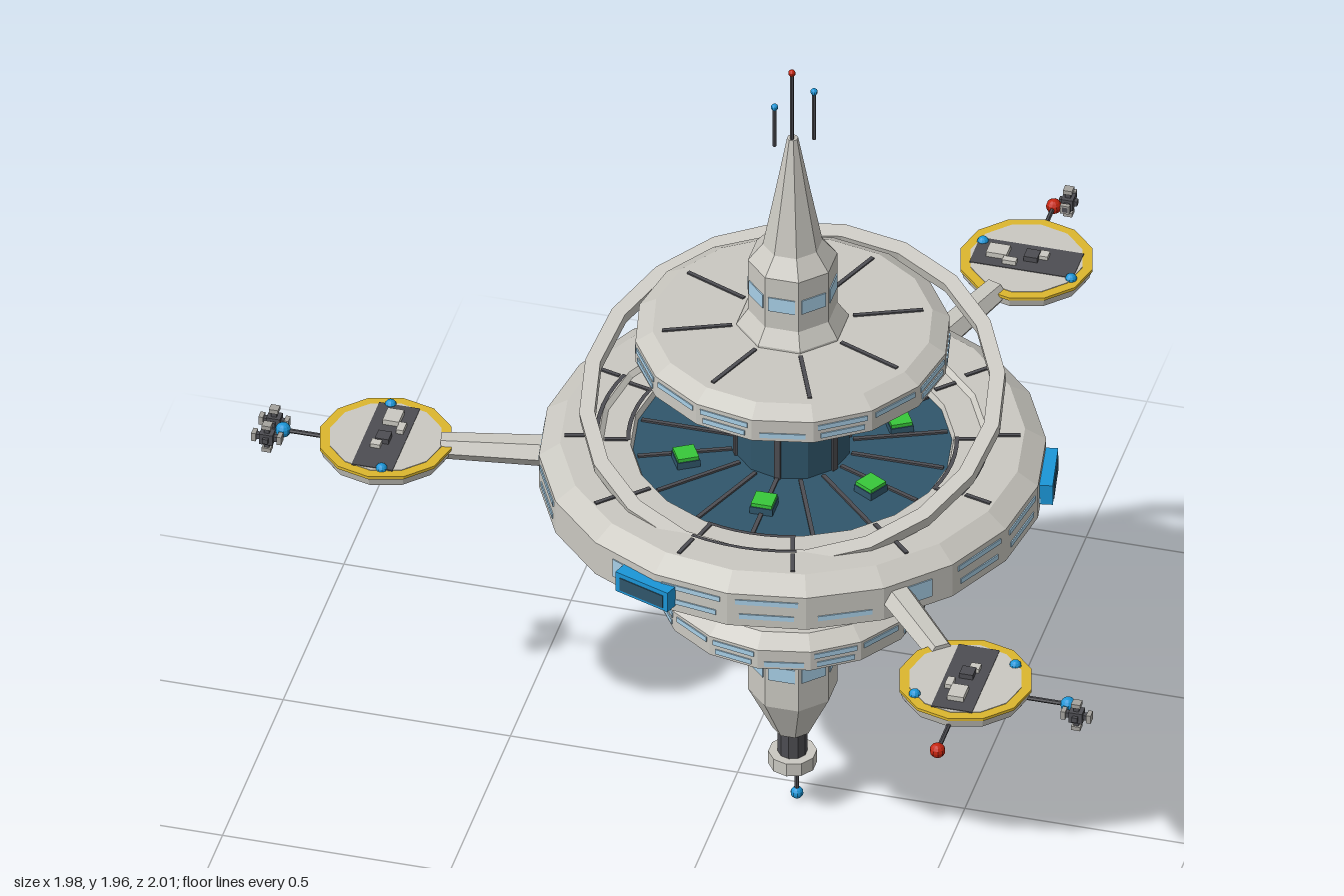
import * as THREE from 'three';

const mat = (name, color) => {
  const m = new THREE.MeshStandardMaterial({ color, flatShading: true });
  m.name = name;
  return m;
};
const deg = Math.PI / 180;

export function createModel() {
  const hull = mat('hull grey', 0xcac8c1);
  const mid = mat('mid grey', 0xa5a39e);
  const dark = mat('dark grey', 0x4d4d52);
  const glass = mat('dark blue glass', 0x30566b);
  const blue = mat('bright blue', 0x1b96d8);
  const pane = mat('pale blue window', 0xa9d0e8);
  const yellow = mat('yellow', 0xdcb62e);
  const red = mat('red', 0xc4240f);
  const green = mat('green', 0x38c83a);

  const model = new THREE.Group();
  const station = new THREE.Group();
  station.name = 'station';
  station.position.set(0.145, 0, 0.09);
  model.add(station);

  const add = (parent, name, geo, m, x = 0, y = 0, z = 0) => {
    const mesh = new THREE.Mesh(geo, m);
    mesh.name = name;
    mesh.position.set(x, y, z);
    parent.add(mesh);
    return mesh;
  };
  const box = (parent, name, w, h, d, m, x, y, z) =>
    add(parent, name, new THREE.BoxGeometry(w, h, d), m, x, y, z);
  const ball = (parent, name, r, m, x, y, z) =>
    add(parent, name, new THREE.SphereGeometry(r, 10, 8), m, x, y, z);
  const lathe = (name, pts, sides, m, start = 0) =>
    add(station, name, new THREE.LatheGeometry(pts.map(p => new THREE.Vector2(...p)), sides, start), m);
  const rod = (parent, name, r, y0, y1, x = 0, z = 0) =>
    add(parent, name, new THREE.CylinderGeometry(r, r, y1 - y0, 6), dark, x, (y0 + y1) / 2, z);
  // Box placed on a circle with its x side pointing outward
  const radial = (name, r, angle, y, [depth, h, w], m) => {
    const b = box(station, name, depth, h, w, m, r * Math.cos(angle), y, r * Math.sin(angle));
    b.rotation.y = -angle;
    return b;
  };
  // Thin plates lying on the flat faces of a many-sided drum
  const facePlates = (name, r, sides, y, h, fill, m, use = () => true, shift = 0.5) => {
    const apothem = r * Math.cos(Math.PI / sides), w = 2 * r * Math.sin(Math.PI / sides) * fill;
    for (let i = 0; i < sides; i++)
      if (use(i)) radial(name, apothem, Math.PI / 2 + (i + shift) * 2 * Math.PI / sides, y, [0.005, h, w], m);
  };
  const spokes = (name, count, offset, r0, r1, y) => {
    for (let i = 0; i < count; i++)
      radial(name, (r0 + r1) / 2, offset + i * 2 * Math.PI / count, y, [r1 - r0, 0.005, 0.009], dark);
  };

  // Central column with mullions
  lathe('column', [[0.125, 0.6], [0.125, 1.22]], 12, glass);
  for (let i = 0; i < 6; i++)
    radial('columnMullion', 0.123, (30 + i * 60) * deg, 0.91, [0.012, 0.62, 0.014], dark);

  // Lower spire, eight-sided
  const turn = Math.PI / 8;
  lathe('lowerSpire', [[0, 0.215], [0.042, 0.215], [0.096, 0.325], [0.096, 0.53], [0.115, 0.56]], 8, hull, turn);
  facePlates('lowerSpireWindow', 0.096, 8, 0.415, 0.035, 0.8, pane, () => true, 0);
  add(station, 'neck', new THREE.CylinderGeometry(0.032, 0.032, 0.08, 10), dark, 0, 0.18, 0);
  add(station, 'collar', new THREE.CylinderGeometry(0.052, 0.052, 0.032, 10), hull, 0, 0.136, 0);
  add(station, 'collarPort', new THREE.CylinderGeometry(0.034, 0.034, 0.006, 10), blue, 0, 0.119, 0);
  rod(station, 'keelRod', 0.005, 0.02, 0.13, 0, -0.036);
  ball(station, 'keelLight', 0.014, blue, 0, 0.015, -0.036);

  // Lower disc
  lathe('lowerDisc', [[0, 0.555], [0.26, 0.555], [0.29, 0.577], [0.29, 0.625], [0.255, 0.65], [0, 0.65]], 16, hull);
  spokes('lowerDiscSeam', 8, 22.5 * deg, 0.14, 0.24, 0.651);

  // Upper disc with darker underside
  lathe('upperDisc', [[0.295, 1.195], [0.337, 1.215], [0.337, 1.268], [0.3, 1.29], [0, 1.29]], 16, hull);
  lathe('upperDiscUnderside', [[0, 1.195], [0.295, 1.195]], 16, mid);
  spokes('upperDiscSeam', 8, 22.5 * deg, 0.13, 0.28, 1.291);

  // Window rows of both small discs
  for (const [r, y] of [[0.29, 0.601], [0.337, 1.241]]) {
    facePlates('discWindow', r, 16, y + 0.011, 0.012, 0.85, pane, i => i % 4 !== 3);
    facePlates('discWindow', r, 16, y - 0.011, 0.012, 0.75, pane, i => i % 3 !== 1);
  }

  // Main disc: rim, stepped top, sunken garden floor
  lathe('mainDisc', [[0.48, 0.845], [0.54, 0.872], [0.54, 0.955], [0.495, 0.985], [0.415, 0.985],
    [0.405, 0.975], [0.345, 0.975], [0.338, 0.958]], 20, hull);
  lathe('mainDiscUnderside', [[0, 0.845], [0.48, 0.845]], 20, mid);
  lathe('gardenFloor', [[0.34, 0.962], [0, 0.962]], 20, glass);
  spokes('mainDiscSeam', 12, 15 * deg, 0.425, 0.485, 0.986);
  spokes('innerSeam', 12, 15 * deg, 0.35, 0.4, 0.976);
  spokes('floorSeam', 16, 0, 0.13, 0.332, 0.964);
  for (let i = 0; i < 6; i++) {
    radial('gardenBed', 0.235, (30 + i * 60) * deg, 0.97, [0.05, 0.018, 0.05], glass);
    radial('garden', 0.235, (30 + i * 60) * deg, 0.983, [0.046, 0.009, 0.046], green);
  }

  // Dark arcs on the main disc at the four quarters
  for (let i = 0; i < 4; i++) {
    for (const [r, y] of [[0.412, 0.988], [0.345, 0.978]]) {
      const arc = add(station, 'quarterArc',
        new THREE.RingGeometry(r, r + 0.009, 6, 1, i * Math.PI / 2 - 0.28, 0.56), dark, 0, y, 0);
      arc.rotation.x = -Math.PI / 2;
    }
  }

  // Main disc windows
  facePlates('mainWindow', 0.54, 20, 0.915, 0.045, 0.4, pane, i => i % 4 === 1);
  facePlates('mainWindow', 0.54, 20, 0.935, 0.012, 0.8, pane, i => i % 4 === 0 || i % 4 === 3);
  facePlates('mainWindow', 0.54, 20, 0.898, 0.012, 0.7, pane, i => i % 4 !== 1 && i % 5 !== 2);

  // Docking hatches between the arms
  for (const a of [-10, 110, 230]) {
    radial('hatchFrame', 0.545, a * deg, 0.913, [0.032, 0.05, 0.135], blue);
    radial('hatchDoor', 0.559, a * deg, 0.911, [0.008, 0.032, 0.112], glass);
  }

  // Tilted ring of square section
  const ring = lathe('tiltedRing',
    [[0.422, -0.014], [0.455, -0.014], [0.455, 0.014], [0.422, 0.014], [0.422, -0.014]], 20, hull);
  ring.position.y = 1.09;
  ring.rotation.x = 0.295;

  // Upper spire and antennas
  lathe('upperSpire', [[0.12, 1.285], [0.12, 1.295], [0.096, 1.33], [0.096, 1.46], [0.064, 1.5],
    [0.037, 1.64], [0.012, 1.775], [0, 1.778]], 8, hull, turn);
  facePlates('upperSpireWindow', 0.096, 8, 1.393, 0.035, 0.8, pane, () => true, 0);
  for (const [x, z, top, m] of [[0, 0.006, 1.95, red], [-0.033, 0.025, 1.867, blue], [0.042, -0.02, 1.89, blue]]) {
    rod(station, 'antenna', 0.0045, 1.765, top, x, z);
    ball(station, 'antennaLight', 0.008, m, x, top, z);
  }

  // Small cross-shaped thruster
  const thruster = (parent, x, z) => {
    const g = new THREE.Group();
    g.name = 'thruster';
    g.position.set(x, 0, z);
    parent.add(g);
    box(g, 'thrusterCore', 0.03, 0.026, 0.026, dark, 0, 0, 0);
    for (const [w, h, d] of [[0.066, 0.012, 0.012], [0.012, 0.066, 0.012], [0.012, 0.012, 0.04]])
      box(g, 'thrusterBar', w, h, d, dark, 0, 0, 0);
    for (const s of [-1, 1]) {
      box(g, 'thrusterNozzle', 0.02, 0.01, 0.02, mid, 0, s * 0.029, 0);
      box(g, 'thrusterNozzle', 0.01, 0.02, 0.02, mid, s * 0.028, 0, 0);
    }
  };

  // Arms with landing pads; each pad faces a square direction
  const pads = [
    { arm: 50, face: 0, tip: blue, side: 1, thrusters: [0.03], lamps: [[0.09, -0.075], [-0.09, 0.08]], mast: true },
    { arm: -70, face: -90, tip: red, side: -1, thrusters: [0.025], lamps: [[0.035, -0.105], [-0.045, 0.11]] },
    { arm: 170, face: 180, tip: blue, side: 1, thrusters: [-0.03, 0.03], lamps: [[0.02, 0.115], [-0.02, -0.11]] },
  ];
  for (const p of pads) {
    const a = p.arm * deg;
    const armGeo = new THREE.CylinderGeometry(0.031, 0.038, 0.26, 6).rotateZ(-Math.PI / 2).scale(1, 0.88, 1);
    const arm = add(station, 'arm', armGeo, hull, 0.62 * Math.cos(a), 0.912, 0.62 * Math.sin(a));
    arm.rotation.y = -a;

    const pad = new THREE.Group();
    pad.name = 'landingPad';
    pad.position.set(0.868 * Math.cos(a), 0.9, 0.868 * Math.sin(a));
    pad.rotation.y = -p.face * deg;
    station.add(pad);
    add(pad, 'padBody', new THREE.CylinderGeometry(0.143, 0.138, 0.018, 12), hull, 0, 0.009, 0);
    add(pad, 'padUnderside', new THREE.CylinderGeometry(0.136, 0.136, 0.004, 12), mid, 0, -0.001, 0);
    add(pad, 'padEdge', new THREE.CylinderGeometry(0.145, 0.145, 0.007, 12), yellow, 0, 0.0215, 0);
    add(pad, 'padDeck', new THREE.CylinderGeometry(0.123, 0.123, 0.004, 12), hull, 0, 0.0245, 0);
    box(pad, 'padPlate', 0.09, 0.005, 0.228, dark, 0, 0.0255, 0);
    box(pad, 'padCrate', 0.036, 0.012, 0.045, hull, 0, 0.034, 0.062 * p.side);
    box(pad, 'padCrate', 0.016, 0.01, 0.03, hull, -0.026, 0.033, 0.03 * p.side);
    box(pad, 'padCrate', 0.022, 0.009, 0.022, hull, 0.012, 0.0325, -0.035 * p.side);
    box(pad, 'padLocker', 0.03, 0.014, 0.03, dark, 0.002, 0.033, -0.012 * p.side);
    for (const [x, z] of p.lamps) ball(pad, 'padLamp', 0.013, blue, x, 0.025, z);

    // Masts on the pad rim
    rod(pad, 'padMast', 0.005, -0.05, 0.05).rotation.z = Math.PI / 2;
    pad.children.at(-1).position.set(0.185, 0.002, 0);
    ball(pad, 'mastLight', 0.017, p.tip, 0.226, 0.002, 0);
    for (const z of p.thrusters) thruster(pad, 0.253, z);
    if (p.mast) {
      rod(pad, 'padMast', 0.005, -0.05, 0.05).rotation.x = Math.PI / 2;
      pad.children.at(-1).position.set(0, 0.002, 0.185);
      ball(pad, 'mastLight', 0.017, red, 0, 0.002, 0.23);
    }
  }
  return model;
}
